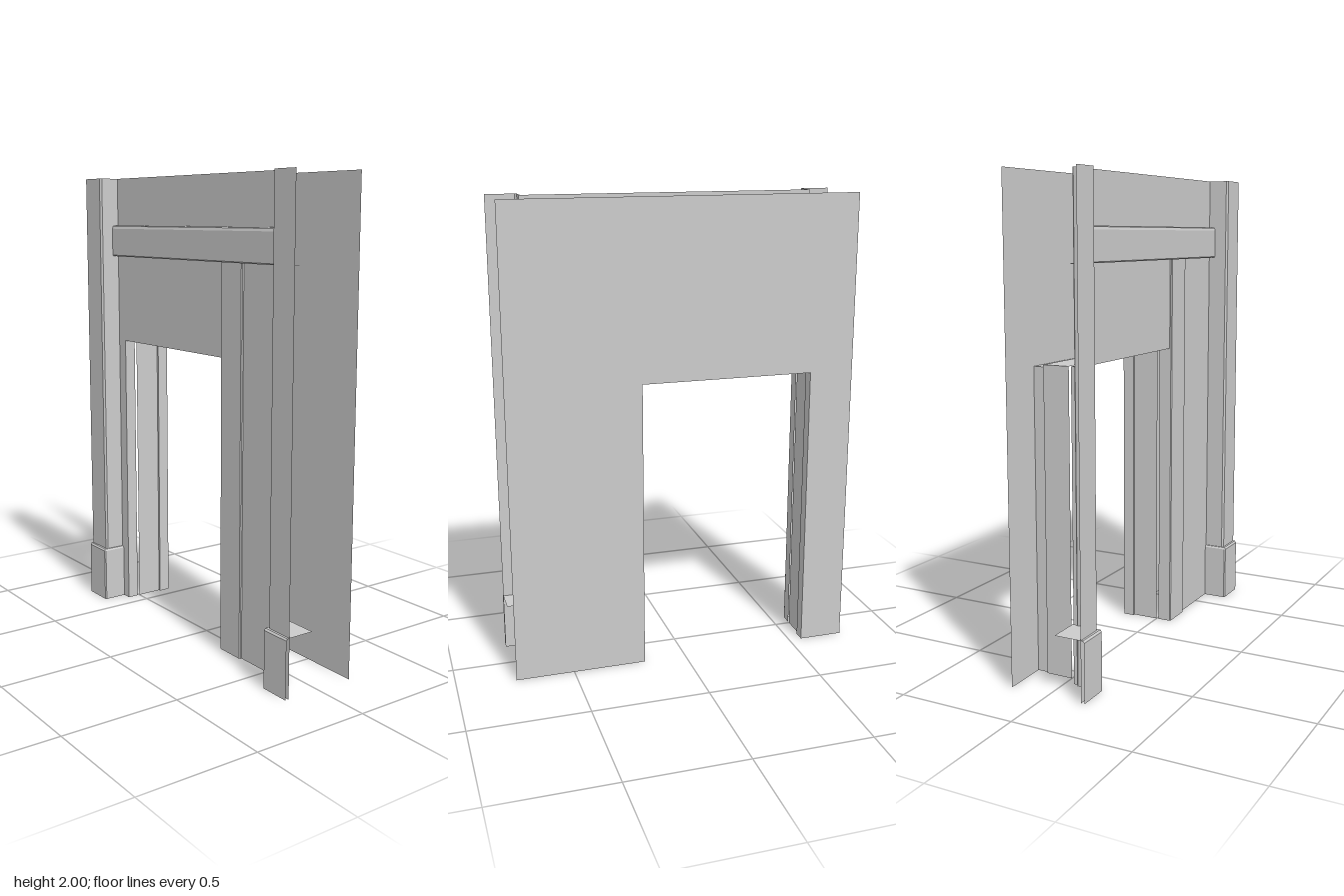
import * as THREE from 'three';

const material = new THREE.MeshStandardMaterial({
  color: 0xcccccc, flatShading: true, side: THREE.DoubleSide,
});

// Open sheet joining cross-sections; every section has the same number of points
function sheet(name, sections) {
  const pos = [];
  for (let i = 0; i + 1 < sections.length; i++) {
    const a = sections[i], b = sections[i + 1];
    for (let j = 0; j + 1 < a.length; j++) {
      pos.push(...a[j], ...a[j + 1], ...b[j + 1], ...a[j], ...b[j + 1], ...b[j]);
    }
  }
  const geo = new THREE.BufferGeometry();
  geo.setAttribute('position', new THREE.Float32BufferAttribute(pos, 3));
  geo.computeVertexNormals();
  const mesh = new THREE.Mesh(geo, material);
  mesh.name = name;
  return mesh;
}

// Plan outline of [x, z] points raised from y0 to y1
const upright = (name, plan, y0, y1) =>
  sheet(name, [y0, y1].map(y => plan.map(([x, z]) => [x, y, z])));

// Flat wall with a doorway notch that reaches the floor
function wall(name, halfWidth, left, right, top, z) {
  const shape = new THREE.Shape([
    [-halfWidth, 0], [left, 0], [left, top], [right, top],
    [right, 0], [halfWidth, 0], [halfWidth, 2], [-halfWidth, 2],
  ].map(p => new THREE.Vector2(...p)));
  const mesh = new THREE.Mesh(new THREE.ShapeGeometry(shape), material);
  mesh.name = name;
  mesh.position.z = z;
  return mesh;
}

// Doorway outline at depth z, grown outward by d
const doorway = (z, d) => [
  [-0.557 - d, 0, z], [-0.557 - d, 1.25 + d, z],
  [0.185 + d, 1.25 + d, z], [0.185 + d, 0, z],
];

export function createModel() {
  const group = new THREE.Group();

  // Front and back walls
  group.add(wall('frontWall', 0.625, -0.567, 0.195, 1.26, 0.06));
  group.add(wall('backWall', 0.75, -0.557, 0.185, 1.25, -0.165));

  // Door lining: wall return in front, then a stepped frame behind a narrow gap
  group.add(sheet('wallReturn', [doorway(0.06, 0.01), doorway(0.01, 0.01)]));
  group.add(sheet('doorFrame', [
    doorway(0, 0.01), doorway(-0.115, 0.01), doorway(-0.115, 0), doorway(-0.165, 0),
  ]));

  // Flat post beside the doorway, open at the back
  group.add(upright('doorPost', [
    [0.195, 0.01], [0.195, 0.066], [0.199, 0.07],
    [0.331, 0.07], [0.335, 0.066], [0.335, 0.01],
  ], 0, 1.65));

  // Cross beam with softened front edges, open at the back and ends
  const beamProfile = [
    [1.65, 0.01], [1.65, 0.085], [1.655, 0.09], [1.775, 0.09],
    [1.786, 0.086], [1.79, 0.076], [1.79, 0.01],
  ];
  group.add(sheet('crossBeam', [-0.62, 0.617].map(x => beamProfile.map(([y, z]) => [x, y, z]))));

  // Corner pilasters and their plinths, open on the outer sides
  for (const s of [1, -1]) {
    const side = s > 0 ? 'left' : 'right';
    group.add(upright(side + 'Pilaster', [
      [s * 0.75, 0.15], [s * 0.628, 0.15], [s * 0.62, 0.142], [s * 0.62, 0.06],
    ], 0, 2));

    const ring = (y, d) => [
      [s * 0.75, y, 0.165 - d], [s * 0.615, y, 0.165 - d],
      [s * (0.61 + d), y, 0.16], [s * (0.61 + d), y, 0.035],
    ];
    const rim = ring(0.25, 0.006);
    const back = rim.map(([x, y]) => [x, y, 0.035]);
    group.add(sheet(side + 'Plinth', [ring(0, 0), ring(0.242, 0), rim, back]));
  }
  return group;
}
